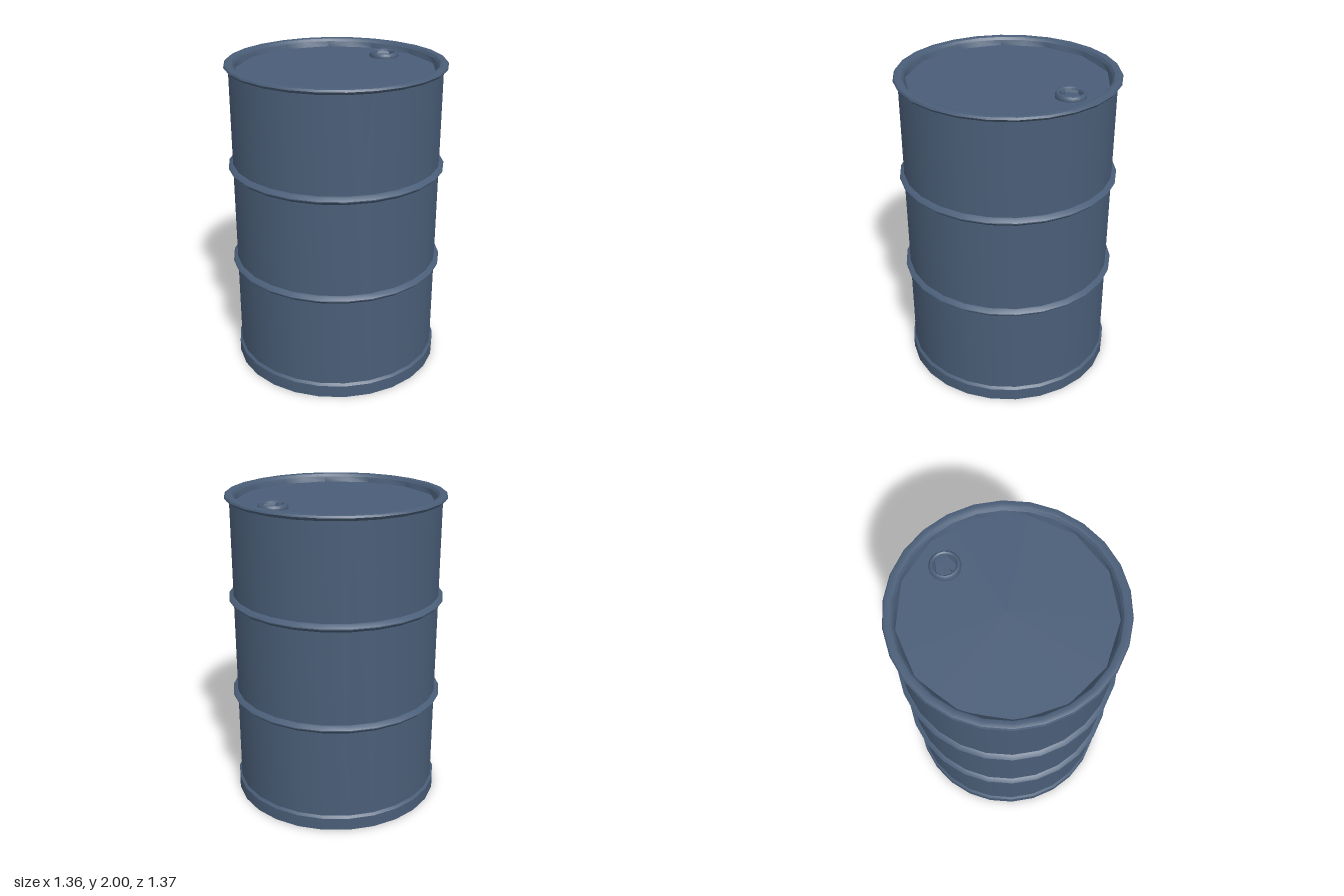
import * as THREE from 'three';
import { toCreasedNormals } from 'three/addons/utils/BufferGeometryUtils.js';

const SIDES = 26;
const paint = new THREE.MeshStandardMaterial({ color: 0x4a5e78 });
paint.name = 'slate blue paint';

// Lathe a profile of [radius, height] pairs; creases stay sharp, the round stays smooth
function turned(name, profile, sides, reshape) {
  const geo = new THREE.LatheGeometry(profile.map(([r, y]) => new THREE.Vector2(r, y)), sides);
  if (reshape) reshape(geo.attributes.position, profile.length);
  const mesh = new THREE.Mesh(toCreasedNormals(geo, 0.55), paint);
  mesh.name = name;
  return mesh;
}

// Pull every second column of the given profile rows onto the chord, giving a 13-sided plate
const halveSides = (...rows) => (pos, count) => {
  const k = Math.cos((2 * Math.PI) / SIDES);
  for (let i = 1; i <= SIDES; i += 2) {
    for (const row of rows) {
      const v = i * count + row;
      pos.setXYZ(v, pos.getX(v) * k, pos.getY(v), pos.getZ(v) * k);
    }
  }
};

export function createModel() {
  const drum = new THREE.Group();
  drum.name = 'drum';

  // Shell: plain wall sections between the hoops
  drum.add(turned('wall', [[0.657, 0.08], [0.657, 1.97]], SIDES));

  // Two pointed rolling hoops
  for (const y of [0.7, 1.345]) {
    drum.add(turned('rollingHoop', [
      [0.656, y - 0.026], [0.664, y - 0.023], [0.685, y - 0.003], [0.685, y + 0.003],
      [0.664, y + 0.023], [0.656, y + 0.026],
    ], SIDES));
  }

  // Base band with a small chamfer on top
  drum.add(turned('baseBand', [
    [0.645, 0], [0.672, 0], [0.672, 0.08], [0.656, 0.095],
  ], SIDES));

  // Recessed underside
  drum.add(turned('bottomPlate', [[0, 0.025], [0.64, 0.025], [0.645, 0]], SIDES, halveSides(1)));

  // Rolled top rim
  drum.add(turned('topRim', [
    [0.655, 1.96], [0.672, 1.966], [0.685, 1.982], [0.678, 1.994], [0.655, 2],
    [0.634, 1.994], [0.622, 1.978],
  ], SIDES));

  // Sunken lid with its well wall
  drum.add(turned('lid', [[0.622, 1.978], [0.62, 1.945], [0, 1.945]], SIDES, halveSides(1)));

  // Bung: rounded collar, five-sided socket and a small lug
  const bung = new THREE.Group();
  bung.name = 'bung';
  bung.position.set(0.45, 1.944, 0);
  bung.add(turned('bungCollar', [
    [0.093, 0], [0.093, 0.016], [0.085, 0.029], [0.076, 0.032], [0.068, 0.026], [0.064, 0.014],
  ], 16));
  const socket = turned('bungSocket', [[0.07, 0.02], [0.064, 0.006], [0, 0.006]], 5);
  socket.rotation.y = 0.5;
  bung.add(socket);
  const lug = new THREE.Mesh(new THREE.CylinderGeometry(0.014, 0.016, 0.02, 8), paint);
  lug.name = 'bungLug';
  lug.position.set(-0.052, 0.015, 0.01);
  bung.add(lug);
  drum.add(bung);

  return drum;
}
